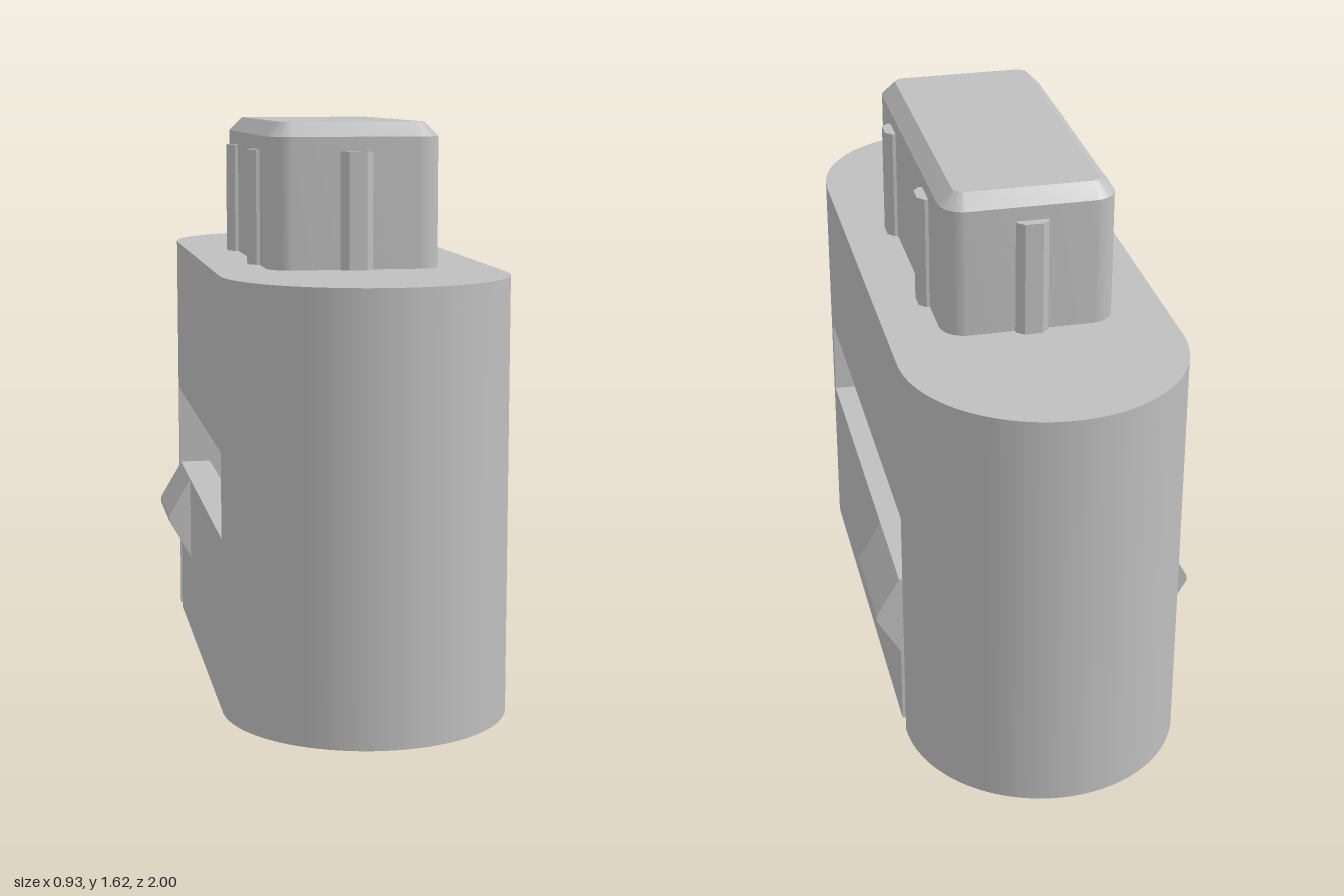
import * as THREE from 'three';
import { toCreasedNormals } from 'three/addons/utils/BufferGeometryUtils.js';

const R = 0.395, END = 0.605, TOP = 1.21;   // end radius, end centre, body height
const CORE = 0.1, ARM = 0.3;                // pocket inner wall, arm inner face

export function createModel() {
  const group = new THREE.Group();
  const grey = new THREE.MeshStandardMaterial({ color: 0xbfbfbf });
  grey.name = 'plastic grey';

  const add = (name, geometry) => {
    const mesh = new THREE.Mesh(geometry, grey);
    mesh.name = name;
    group.add(mesh);
    return mesh;
  };
  const polygon = (points) => new THREE.Shape(points.map(([x, y]) => new THREE.Vector2(x, y)));

  // Extrude an x/y profile from z0 to z1
  const alongZ = (shape, z0, z1) =>
    new THREE.ExtrudeGeometry(shape, { depth: z1 - z0, bevelEnabled: false }).translate(0, 0, z0);

  // Extrude a plan (shape y = -z) upward from y0 to y1, with an optional chamfer
  const upright = (shape, y0, y1, chamfer = 0) => {
    const geometry = new THREE.ExtrudeGeometry(shape, {
      depth: y1 - y0 - 2 * chamfer, curveSegments: chamfer ? 8 : 40,
      bevelEnabled: chamfer > 0, bevelSize: chamfer, bevelThickness: chamfer,
      bevelOffset: -chamfer, bevelSegments: 1,
    });
    geometry.rotateX(-Math.PI / 2).translate(0, y0 + chamfer, 0);
    return toCreasedNormals(geometry, 0.5);
  };

  // Middle of the body: narrow core with 45 degree overhangs above the side pockets
  const slope = R - CORE, low = 0.435;
  add('bodyCore', alongZ(polygon([
    [-CORE, 0], [CORE, 0], [CORE, low], [R, low + slope], [R, TOP],
    [-R, TOP], [-R, low + slope], [-CORE, low],
  ]), -END, END));

  // Half-round ends
  const halfDisc = new THREE.Shape();
  halfDisc.absarc(0, -END, R, Math.PI, 2 * Math.PI, false);
  halfDisc.closePath();
  add('frontEnd', upright(halfDisc, 0, TOP));
  add('backEnd', upright(halfDisc, 0, TOP).rotateY(Math.PI));

  // Rounded corner filler at the front of a pocket
  const fillet = (x, dir) => {
    const r = 0.06, shape = new THREE.Shape();
    shape.moveTo(x, -END);
    shape.lineTo(x + dir * r, -END);
    shape.absarc(x + dir * r, -END + r, r, -Math.PI / 2, dir > 0 ? -Math.PI : 0, dir > 0);
    shape.closePath();
    return shape;
  };

  for (const [side, s] of [['left', 1], ['right', -1]]) {
    // Flexible arm, free at the back
    const armBack = -0.55, armTop = 0.49;
    add(side + 'Arm', new THREE.BoxGeometry(R - ARM, armTop, END - armBack))
      .position.set(s * (R + ARM) / 2, armTop / 2, (END + armBack) / 2);
    // Wedge catch on the arm
    add(side + 'Catch', alongZ(polygon([
      [s * (R - 0.01), 0.49], [s * R, 0.49], [s * 0.463, 0.375], [s * 0.463, 0.357],
      [s * R, 0.24], [s * (R - 0.01), 0.24],
    ]), armBack, -0.245));
    // Pocket corners
    add(side + 'PocketInnerCorner', upright(fillet(s * CORE, s), 0, low + 0.06));
    add(side + 'PocketOuterCorner', upright(fillet(s * ARM, -s), 0, armTop));
  }

  // Plug with rounded corners and a chamfered top
  const w = 0.243, d = 0.485, r = 0.07;
  const plan = new THREE.Shape();
  plan.absarc(w - r, d - r, r, 0, Math.PI / 2, false);
  plan.absarc(r - w, d - r, r, Math.PI / 2, Math.PI, false);
  plan.absarc(r - w, r - d, r, Math.PI, 1.5 * Math.PI, false);
  plan.absarc(w - r, r - d, r, 1.5 * Math.PI, 2 * Math.PI, false);
  plan.closePath();
  add('plug', upright(plan, TOP - 0.1, 1.615, 0.04));

  // Tapered grip ribs around the plug
  const rib = polygon([
    [-0.045, 0.01], [-0.045, -0.01], [-0.025, -0.028], [0.025, -0.028], [0.045, -0.01], [0.045, 0.01],
  ]);
  const ribs = [
    [0, d, 0], [0, -d, Math.PI],
    [w, 0.245, Math.PI / 2], [w, -0.245, Math.PI / 2],
    [-w, 0.245, -Math.PI / 2], [-w, -0.245, -Math.PI / 2],
  ];
  for (const [x, z, turn] of ribs) {
    const mesh = add('plugRib', upright(rib, TOP, 1.535));
    mesh.position.set(x, 0, z);
    mesh.rotation.y = turn;
  }
  return group;
}
